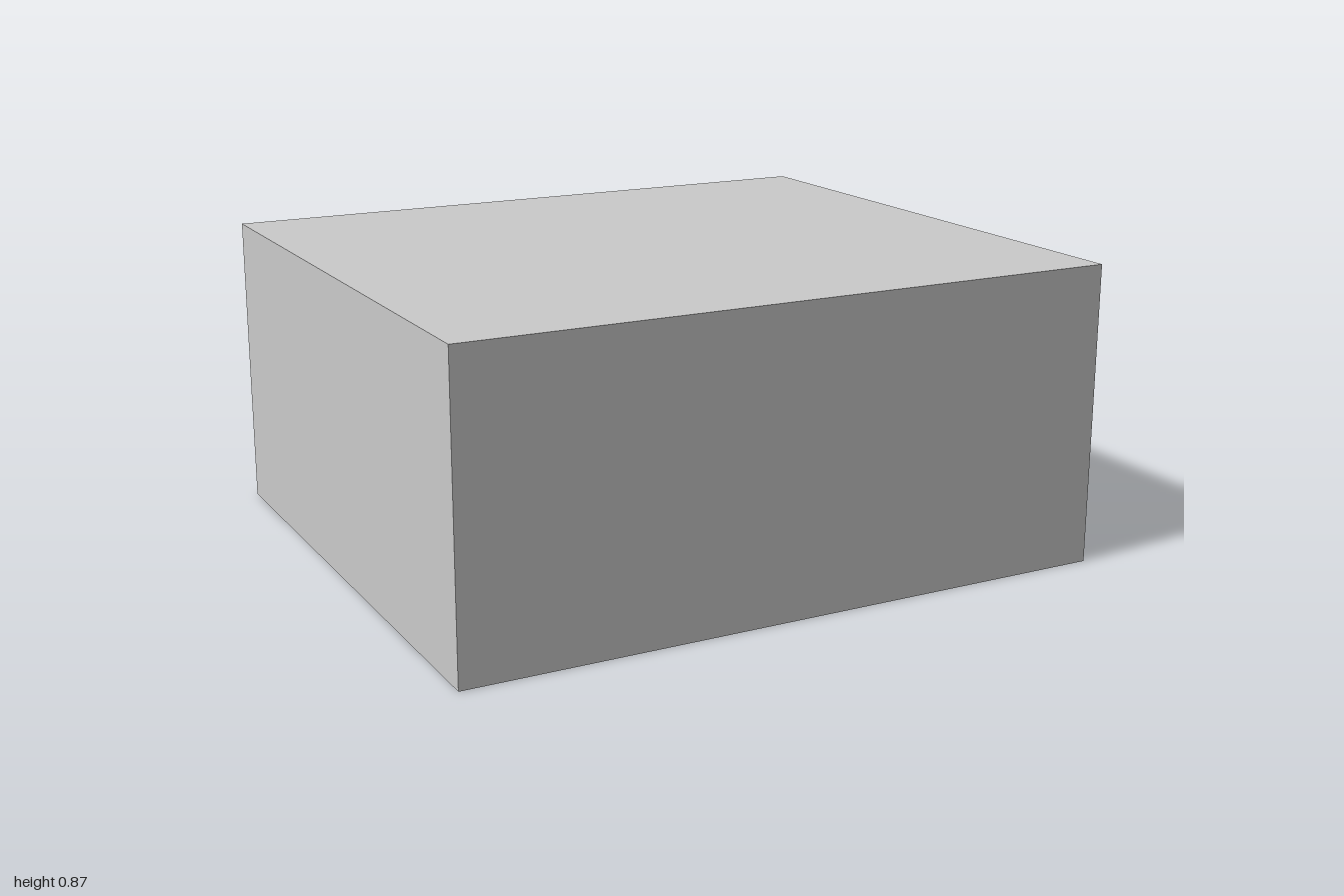
import * as THREE from 'three';

const X0 = -1, X1 = 0.93, Z0 = -0.81, Z1 = 0.88, H = 0.87;
const SILL = 0.23, HEAD = 0.69, REVEAL = 0.07;
const CX = (X0 + X1) / 2, CZ = (Z0 + Z1) / 2, W = X1 - X0, D = Z1 - Z0;

export function createModel() {
  const room = new THREE.Group();
  room.name = 'room';
  const mat = new THREE.MeshStandardMaterial({ color: 0xcccccc, side: THREE.DoubleSide, flatShading: true });

  const add = (parent, name, geometry) => {
    const mesh = new THREE.Mesh(geometry, mat);
    mesh.name = name;
    parent.add(mesh);
    return mesh;
  };
  const box = (name, w, h, d, x, y, z) =>
    add(room, name, new THREE.BoxGeometry(w, h, d)).position.set(x, y, z);

  // A wall lies in its own xy plane, facing +z; windows are [left, right] spans
  function wall(name, length, windows, x, z, turn) {
    const group = new THREE.Group();
    group.name = name;
    const rect = (P, a, b, c, d) => {
      const p = new P();
      p.moveTo(a, c).lineTo(b, c).lineTo(b, d).lineTo(a, d).closePath();
      return p;
    };
    const shape = rect(THREE.Shape, 0, length, 0, H);
    for (const [a, b] of windows) {
      shape.holes.push(rect(THREE.Path, a, b, SILL, HEAD));
      // thin open surround projecting outward
      const w = b - a, h = HEAD - SILL, cx = (a + b) / 2, cy = (SILL + HEAD) / 2;
      for (const s of [-1, 1]) {
        const jamb = add(group, 'windowJamb', new THREE.PlaneGeometry(REVEAL, h));
        jamb.position.set(cx + s * w / 2, cy, REVEAL / 2);
        jamb.rotation.y = s * Math.PI / 2;
        const rail = add(group, s < 0 ? 'windowSill' : 'windowHead', new THREE.PlaneGeometry(w, REVEAL));
        rail.position.set(cx, cy + s * h / 2, REVEAL / 2);
        rail.rotation.x = -s * Math.PI / 2;
      }
    }
    add(group, name + 'Panel', new THREE.ShapeGeometry(shape));
    group.position.set(x, 0, z);
    group.rotation.y = turn;
    room.add(group);
  }

  wall('frontWall', W, [], X0, Z1, 0);
  wall('leftWall', D, [[Z1 - 0.175, Z1 + 0.105]], X1, Z1, Math.PI / 2);
  wall('backWall', W, [[X1 - 0.585, X1 - 0.31], [X1 + 0.38, X1 + 0.655]], X1, Z0, Math.PI);
  wall('rightWall', D, [], X0, Z0, -Math.PI / 2);

  // Floor and ceiling
  for (const [name, y, turn] of [['floor', 0, Math.PI / 2], ['ceiling', H, -Math.PI / 2]]) {
    const slab = add(room, name, new THREE.PlaneGeometry(W, D));
    slab.position.set(CX, y, CZ);
    slab.rotation.x = turn;
  }

  // Skirting along the floor and cornice along the ceiling
  const T = 0.02, TH = 0.05, gap = 0.002;
  for (const [name, y] of [['skirting', TH / 2 + gap], ['cornice', H - TH / 2 - gap]]) {
    for (const s of [-1, 1]) {
      box(name, W - 2 * gap, TH, T, CX, y, CZ + s * (D / 2 - T / 2 - gap));
      box(name, T, TH, D - 2 * T - 2 * gap, CX + s * (W / 2 - T / 2 - gap), y, CZ);
    }
  }

  // Ceiling beams running front to back
  for (let i = -2; i <= 2; i++)
    box('ceilingBeam', 0.07, 0.08, D - 2 * T - 2 * gap, CX + i * 0.367, H - 0.04 - gap, CZ);

  return room;
}
